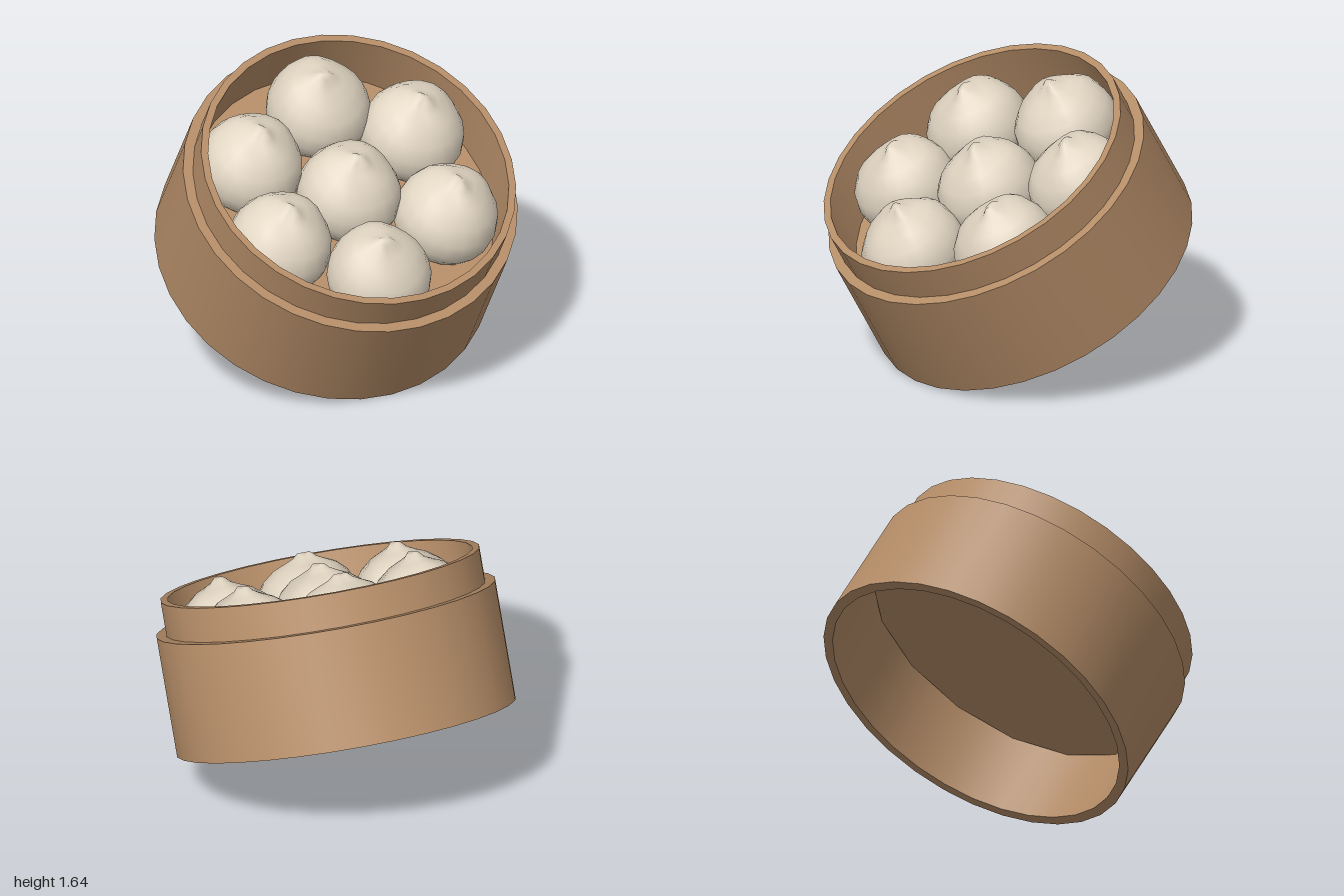
import * as THREE from 'three';
import { toCreasedNormals, mergeVertices } from 'three/addons/utils/BufferGeometryUtils.js';

const wood = new THREE.MeshStandardMaterial({ color: 0xb48c67 });
wood.name = 'bamboo';
const dough = new THREE.MeshStandardMaterial({ color: 0xdfd3c0 });
dough.name = 'dough';

const mesh = (name, geometry, material) => {
  const m = new THREE.Mesh(geometry, material);
  m.name = name;
  return m;
};

// Closed band with a rectangular section, smooth around and sharp at the rims
function band(inner, outer, bottom, top) {
  const profile = [[inner, bottom], [outer, bottom], [outer, top], [inner, top], [inner, bottom]]
    .map(([r, y]) => new THREE.Vector2(r, y));
  return toCreasedNormals(new THREE.LatheGeometry(profile, 32), Math.PI / 5);
}

// Round dumpling with soft pleats gathered into a small leaning twist
function bunGeometry() {
  const profile = [
    [0, 0], [0.2, 0], [0.252, 0.035], [0.28, 0.09], [0.288, 0.15], [0.275, 0.225],
    [0.232, 0.298], [0.165, 0.352], [0.1, 0.382], [0.06, 0.402], [0.033, 0.428], [0, 0.436],
  ].map(([r, y]) => new THREE.Vector2(r, y));
  let g = new THREE.LatheGeometry(profile, 20);
  const p = g.attributes.position;
  for (let i = 0; i < p.count; i++) {
    const x = p.getX(i), y = p.getY(i), z = p.getZ(i);
    const a = Math.atan2(x, z);
    const t = THREE.MathUtils.smoothstep(y, 0.22, 0.42);
    const pleat = 1 + t * 0.08 * Math.sin(4 * a + y * 14) + 0.01 * Math.sin(3 * a);
    p.setXYZ(i, x * pleat + t * 0.01, y + t * 0.008 * Math.sin(2 * a), z * pleat - t * 0.035);
  }
  g.deleteAttribute('uv');
  g.deleteAttribute('normal');
  g = mergeVertices(g, 1e-4);
  g.computeVertexNormals();
  return g;
}

// Bun centres on the basket floor (x, z): one in the middle, six around it
const bunSpots = [
  [0, 0], [-0.063, 0.535], [0.469, 0.28], [0.512, -0.266],
  [0.065, -0.552], [-0.459, -0.315], [-0.517, 0.2],
];

export function createModel() {
  const model = new THREE.Group();
  model.name = 'dumplingSteamer';

  // Whole basket tips forward, resting on its front edge
  const basket = new THREE.Group();
  basket.name = 'tiltedBasket';
  basket.rotation.x = Math.PI / 6;
  basket.position.set(0, 0.4675, -0.19);
  model.add(basket);

  basket.add(mesh('outerWall', band(0.88, 0.935, 0, 0.66), wood));
  basket.add(mesh('innerWall', band(0.84, 0.88, 0.5, 0.85), wood));

  const floor = mesh('basketFloor', new THREE.CylinderGeometry(0.88, 0.88, 0.04, 16), wood);
  floor.position.y = 0.48;
  basket.add(floor);

  const geometry = bunGeometry();
  bunSpots.forEach(([x, z], i) => {
    const bun = mesh(i ? 'ringBun' + i : 'middleBun', geometry, dough);
    bun.position.set(x, 0.475, z);
    bun.rotation.y = 0.6 * Math.sin(i * 2);
    basket.add(bun);
  });
  return model;
}
